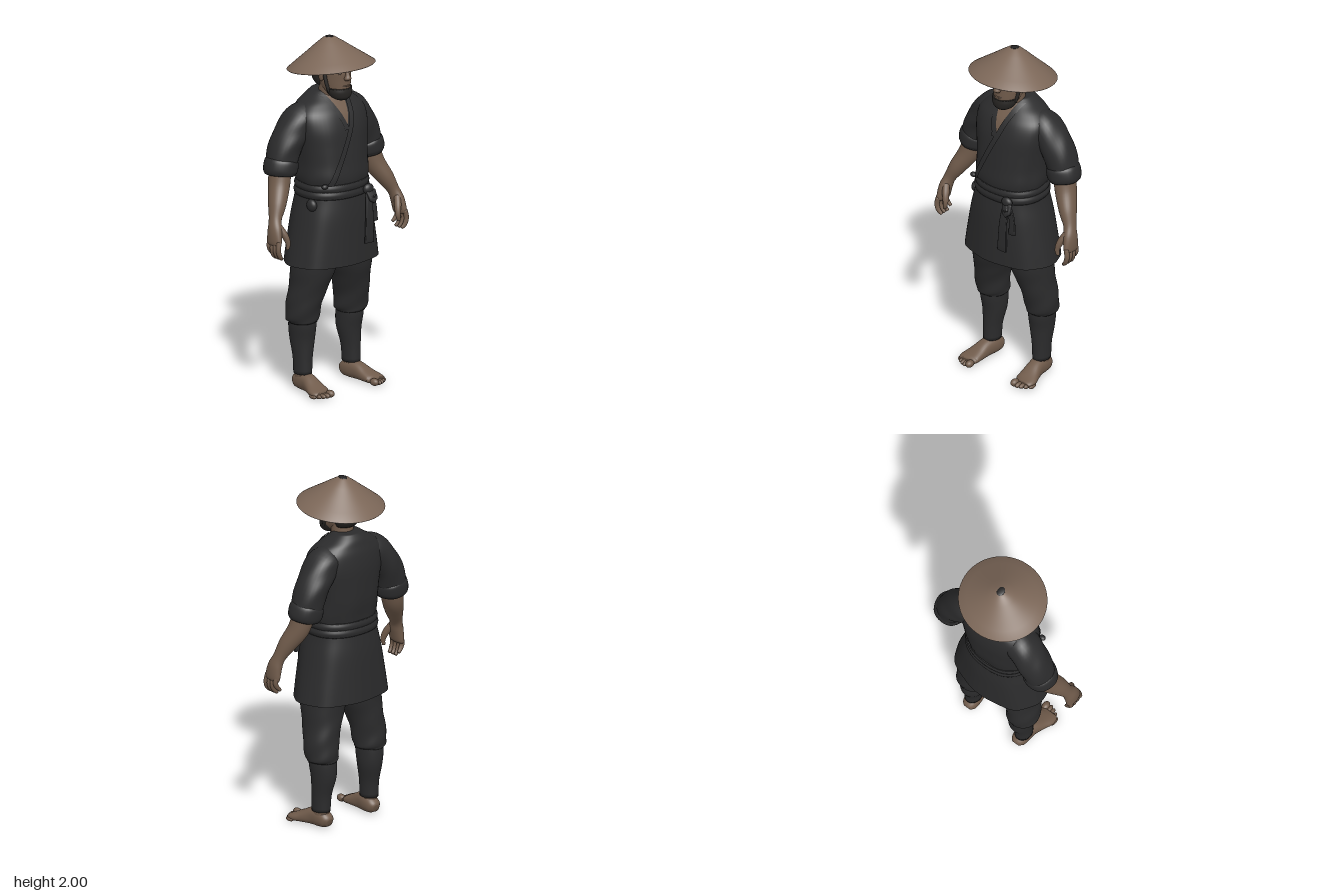
import * as THREE from 'three';

const flat = (name, color) => Object.assign(new THREE.MeshStandardMaterial({ color, side: THREE.DoubleSide }), { name });
const V = (x, y, z) => new THREE.Vector3(x, y, z);

export function createModel() {
  const cloth = flat('dark cloth', 0x2b2b2c);
  const skin = flat('skin', 0x705b4b);
  const straw = flat('straw', 0x7c6758);
  const hairMat = flat('hair', 0x272523);
  const lining = flat('hat lining', 0x232222);
  const model = new THREE.Group();

  function add(geo, mat, name, parent = model) {
    const m = new THREE.Mesh(geo, mat);
    m.name = name;
    parent.add(m);
    return m;
  }

  // Smooth skin over cross-sections [x, y, z, radiusA, radiusB].
  // "follow" turns the rings along the path, otherwise they stay level.
  function loft(rows, { follow = false, ref = V(0, 0, 1), seg = 32, sub = 5, power = 2, caps = true, fold = null } = {}) {
    const path = new THREE.CatmullRomCurve3(rows.map(r => V(r[0], r[1], r[2])), false, 'catmullrom');
    const size = new THREE.CatmullRomCurve3(rows.map(r => V(r[3], r[4], 0)), false, 'catmullrom');
    const n = (rows.length - 1) * sub, pos = [], index = [];
    const round = c => Math.sign(c) * Math.abs(c) ** (2 / power);
    const ring = (t, k) => {
      const c = path.getPoint(t), r = size.getPoint(t);
      const dir = follow ? path.getTangent(t) : V(0, 1, 0);
      const a = V().crossVectors(dir, ref).normalize(), b = V().crossVectors(a, dir);
      for (let j = 0; j < seg; j++) {
        const q = j / seg * Math.PI * 2, f = k * (fold ? 1 + fold(q, t) : 1);
        const p = c.clone().addScaledVector(a, r.x * f * round(Math.cos(q)))
          .addScaledVector(b, r.y * f * round(Math.sin(q)));
        pos.push(p.x, p.y, p.z);
      }
    };
    if (caps) ring(0, 0.001);
    for (let i = 0; i <= n; i++) ring(i / n, 1);
    if (caps) ring(1, 0.001);
    const count = pos.length / 3 / seg;
    for (let i = 0; i < count - 1; i++) for (let j = 0; j < seg; j++) {
      const a = i * seg + j, b = i * seg + (j + 1) % seg;
      index.push(a, a + seg, b, b, a + seg, b + seg);
    }
    return finish(pos, index);
  }

  function finish(pos, index) {
    const g = new THREE.BufferGeometry();
    g.setAttribute('position', new THREE.Float32BufferAttribute(pos, 3));
    g.setIndex(index);
    g.computeVertexNormals();
    return g;
  }

  function ball(x, y, z, rx, ry, rz, mat, name, parent) {
    const m = add(new THREE.SphereGeometry(1, 20, 14), mat, name, parent);
    m.position.set(x, y, z);
    m.scale.set(rx, ry, rz);
    return m;
  }

  // Jacket body
  const torso = add(loft([
    [0, 1.17, 0.005, 0.195, 0.165], [0, 1.23, 0.005, 0.208, 0.173], [0, 1.31, -0.005, 0.207, 0.175],
    [0, 1.4, -0.012, 0.215, 0.172], [0, 1.5, -0.02, 0.228, 0.165], [0, 1.58, -0.03, 0.222, 0.145],
    [0, 1.63, -0.042, 0.18, 0.118], [0, 1.665, -0.052, 0.12, 0.095], [0, 1.695, -0.056, 0.075, 0.068],
  ], { seg: 48, power: 2.3, fold: (q, t) => 0.012 * Math.sin(9 * q + 5 * t) * (1 - t) }), cloth, 'jacket body');

  // Thin strip laid on the chest between two edge functions of y
  torso.updateMatrixWorld();
  const ray = new THREE.Raycaster();
  function chestPatch(y0, y1, left, right, lift, mat, name) {
    const pos = [], index = [], rows = 24, cols = 6;
    for (let i = 0; i <= rows; i++) for (let j = 0; j <= cols; j++) {
      const y = y0 + (y1 - y0) * i / rows;
      const x = THREE.MathUtils.lerp(left(y), right(y), j / cols);
      ray.set(V(x, y, 1), V(0, 0, -1));
      const hit = ray.intersectObject(torso)[0];
      pos.push(x, y, (hit ? hit.point.z : 0) + lift);
      if (i < rows && j < cols) {
        const a = i * (cols + 1) + j, b = a + cols + 1;
        index.push(a, a + 1, b, a + 1, b + 1, b);
      }
    }
    add(finish(pos, index), mat, name);
  }
  const vee = y => Math.max(0, (y - 1.52) / 0.16);
  const lapEdge = y => y > 1.52 ? 0.056 * vee(y) : (y - 1.52) * 0.48;
  chestPatch(1.52, 1.68, y => -0.06 * vee(y), y => 0.056 * vee(y), 0.003, skin, 'bare chest');
  chestPatch(1.5, 1.68, y => -0.06 * vee(y) - 0.03, y => -0.06 * vee(y), 0.008, cloth, 'right lapel');
  chestPatch(1.2, 1.68, lapEdge, y => lapEdge(y) + 0.034, 0.012, cloth, 'left lapel');

  // Skirt of the jacket, open at the hem
  add(loft([
    [0, 0.735, 0, 0.284, 0.198], [0, 0.85, 0.002, 0.264, 0.194], [0, 1, 0.004, 0.234, 0.188],
    [0, 1.1, 0.005, 0.21, 0.177], [0, 1.18, 0.005, 0.196, 0.165],
  ], { seg: 64, power: 2.3, caps: false, fold: (q, t) => 0.015 * (1 - t) * Math.sin(8 * q + 1) }), cloth, 'jacket skirt');

  // Belt in two wraps, with knot and hanging ends
  for (const [y, r] of [[1.14, 0.008], [1.178, 0.005]]) {
    add(loft([
      [0, y - 0.022, 0.005, 0.2 + r, 0.169 + r], [0, y, 0.005, 0.206 + r, 0.173 + r],
      [0, y + 0.022, 0.005, 0.198 + r, 0.167 + r],
    ], { seg: 48, power: 2.3 }), cloth, 'belt');
  }
  ball(0.11, 1.145, 0.185, 0.034, 0.03, 0.022, cloth, 'belt knot');
  const sash = rows => add(loft(rows, { follow: true, power: 4, seg: 20 }), cloth, 'belt end');
  sash([[0.11, 1.14, 0.187, 0.02, 0.008], [0.1, 1.02, 0.205, 0.025, 0.008], [0.095, 0.845, 0.21, 0.031, 0.008]]);
  sash([[0.115, 1.14, 0.187, 0.018, 0.008], [0.145, 1.05, 0.186, 0.018, 0.008], [0.15, 0.955, 0.19, 0.022, 0.008]]);
  sash([[0.1, 1.14, 0.19, 0.016, 0.01], [0.125, 1.09, 0.21, 0.024, 0.013], [0.135, 1.14, 0.19, 0.014, 0.01]]);
  ball(-0.2, 1.085, 0.07, 0.024, 0.035, 0.035, cloth, 'side pouch');
  ball(-0.165, 1.2, 0.14, 0.02, 0.014, 0.016, cloth, 'side tie');

  // Neck and head
  add(loft([[0, 1.58, -0.04, 0.07, 0.07], [0, 1.67, -0.015, 0.062, 0.062], [0, 1.78, 0.002, 0.062, 0.07]]), skin, 'neck');
  const skull = [
    [0, 1.668, 0.083, 0.035, 0.035], [0, 1.69, 0.066, 0.058, 0.06], [0, 1.73, 0.038, 0.072, 0.094],
    [0, 1.78, 0.022, 0.079, 0.112], [0, 1.83, 0.016, 0.081, 0.119], [0, 1.88, 0.008, 0.074, 0.105],
    [0, 1.925, 0, 0.045, 0.065],
  ];
  add(loft(skull), skin, 'head');
  const nose = add(loft([[0, 1.835, 0.127, 0.009, 0.012], [0, 1.81, 0.135, 0.013, 0.015], [0, 1.79, 0.137, 0.021, 0.02], [0, 1.778, 0.13, 0.014, 0.014]].reverse(), { seg: 16 }), skin, 'nose');
  nose.position.z = 0.002;
  ball(0, 1.745, 0.124, 0.027, 0.007, 0.012, skin, 'lips');
  // Hair at the back of the head
  add(loft([
    [0, 1.725, -0.045, 0.06, 0.045], [0, 1.76, -0.05, 0.077, 0.066], [0, 1.82, -0.052, 0.083, 0.066],
    [0, 1.88, -0.045, 0.072, 0.06], [0, 1.92, -0.02, 0.04, 0.04],
  ]), hairMat, 'back hair');
  // Beard round the chin
  add(loft([
    [0, 1.662, 0.085, 0.034, 0.034], [0, 1.678, 0.078, 0.058, 0.056], [0, 1.705, 0.068, 0.072, 0.071],
    [0, 1.73, 0.062, 0.073, 0.074],
  ]), hairMat, 'beard');

  for (const s of [1, -1]) {
    const side = s > 0 ? 'left' : 'right';
    const mir = rows => rows.map(([x, ...rest]) => [x * s, ...rest]);

    ball(s * 0.034, 1.838, 0.119, 0.028, 0.008, 0.012, skin, side + 'Brow');
    ball(s * 0.033, 1.818, 0.116, 0.014, 0.007, 0.01, skin, side + 'Eyelid');
    ball(s * 0.083, 1.795, 0.012, 0.012, 0.033, 0.019, skin, side + 'Ear');
    const strap = new THREE.CatmullRomCurve3([V(s * 0.066, 1.71, 0.062), V(s * 0.078, 1.76, 0.05), V(s * 0.084, 1.87, 0.03)]);
    add(new THREE.TubeGeometry(strap, 16, 0.011, 10), hairMat, side + 'Sideburn');

    // Sleeve with rolled cuff
    const arm = new THREE.Group();
    arm.name = side + 'Arm';
    model.add(arm);
    add(loft(mir([
      [0.12, 1.57, -0.05, 0.075, 0.085], [0.18, 1.545, -0.055, 0.088, 0.1], [0.24, 1.47, -0.062, 0.09, 0.1],
      [0.285, 1.39, -0.065, 0.088, 0.095], [0.312, 1.29, -0.063, 0.086, 0.086],
    ]), { follow: true, fold: (q, t) => 0.02 * Math.sin(4 * q + 14 * t) }), cloth, 'sleeve', arm);
    add(loft(mir([
      [0.299, 1.345, -0.063, 0.08, 0.084], [0.304, 1.325, -0.062, 0.094, 0.095],
      [0.314, 1.28, -0.06, 0.096, 0.094], [0.318, 1.255, -0.058, 0.082, 0.084],
    ]), { follow: true, fold: q => 0.015 * Math.sin(5 * q) }), cloth, 'rolled cuff', arm);

    // Forearm, hand, fingers and thumb
    add(loft(mir([
      [0.315, 1.3, -0.06, 0.06, 0.066], [0.343, 1.2, -0.04, 0.058, 0.063], [0.39, 1.11, 0, 0.047, 0.052],
      [0.425, 1.04, 0.025, 0.033, 0.038], [0.442, 0.985, 0.042, 0.033, 0.047], [0.452, 0.925, 0.05, 0.026, 0.054],
      [0.453, 0.905, 0.052, 0.018, 0.05],
    ]), { follow: true }), skin, 'forearm and hand', arm);
    for (let i = 0; i < 4; i++) {
      const z = 0.013 + i * 0.026, d = (i === 0 ? 0.02 : 0);
      add(loft(mir([
        [0.454, 0.93, z, 0.015, 0.014], [0.462, 0.885 + d / 2, z + 0.004, 0.014, 0.014],
        [0.452, 0.85 + d, z + 0.003, 0.013, 0.013], [0.432, 0.828 + d, z - 0.002, 0.009, 0.009],
      ]), { follow: true, seg: 12 }), skin, 'finger', arm);
    }
    add(loft(mir([
      [0.43, 1.01, 0.055, 0.02, 0.02], [0.408, 0.96, 0.085, 0.019, 0.02],
      [0.397, 0.915, 0.1, 0.014, 0.015], [0.402, 0.88, 0.1, 0.009, 0.009],
    ]), { follow: true, seg: 14 }), skin, 'thumb', arm);

    // Baggy trouser leg gathered over a wrapped shin
    const leg = new THREE.Group();
    leg.name = side + 'Leg';
    model.add(leg);
    add(loft(mir([
      [0.172, 0.39, -0.042, 0.078, 0.084], [0.174, 0.415, -0.04, 0.092, 0.094], [0.17, 0.5, -0.03, 0.096, 0.103],
      [0.15, 0.6, -0.014, 0.104, 0.115], [0.13, 0.7, 0, 0.122, 0.13], [0.118, 0.82, 0.002, 0.122, 0.14],
      [0.105, 0.95, 0.002, 0.105, 0.14],
    ]), { seg: 40, fold: (q, t) => 0.035 * (1 - t) ** 2 * Math.sin(3 * q + 26 * t) }), cloth, 'trouser leg', leg);
    add(loft(mir([
      [0.175, 0.095, -0.035, 0.047, 0.057], [0.173, 0.19, -0.038, 0.052, 0.06], [0.168, 0.29, -0.048, 0.066, 0.075],
      [0.17, 0.37, -0.044, 0.072, 0.084], [0.17, 0.44, -0.04, 0.07, 0.08],
    ])), cloth, 'shin wrap', leg);

    // Bare foot
    add(loft([[s * 0.175, 0.03, -0.035, 0.04, 0.05], [s * 0.175, 0.12, -0.035, 0.04, 0.05]]), skin, 'ankle', leg);
    add(loft(mir([
      [0.17, 0.034, -0.1, 0.022, 0.022], [0.17, 0.042, -0.08, 0.04, 0.04], [0.172, 0.052, -0.035, 0.046, 0.052],
      [0.178, 0.049, 0.02, 0.045, 0.049], [0.188, 0.035, 0.08, 0.054, 0.035], [0.198, 0.024, 0.13, 0.061, 0.024],
      [0.196, 0.018, 0.16, 0.05, 0.017],
    ]), { follow: true, ref: V(0, 1, 0), power: 2.3 }), skin, 'foot', leg);
    for (let i = 0; i < 5; i++) {
      const r = i ? 0.0155 - i * 0.001 : 0.021;
      ball(s * (0.16 + i * 0.022 + (i ? 0.004 : 0)), r, 0.178 - i * i * 0.0025, r, r, 0.028, skin, 'toe', leg);
    }
  }

  // Tilted conical straw hat with dark lining and tip
  const hat = new THREE.Group();
  hat.name = 'hat';
  hat.position.y = 1.836;
  hat.rotation.x = -0.127;
  hat.scale.z = 0.95;
  model.add(hat);
  const profile = [[0.247, -0.004], [0.25, 0], [0.2, 0.037], [0.14, 0.08], [0.08, 0.125], [0.035, 0.156], [0.015, 0.163], [0, 0.165]]
    .map(p => new THREE.Vector2(...p));
  add(new THREE.LatheGeometry(profile, 64), straw, 'hat cone', hat);
  const inner = [[0, 0.145], [0.08, 0.112], [0.247, -0.004]].map(p => new THREE.Vector2(...p));
  add(new THREE.LatheGeometry(inner, 64), lining, 'hat lining', hat);
  ball(0, 0.161, 0.004, 0.021, 0.005, 0.029, lining, 'hat tip', hat);

  return model;
}
